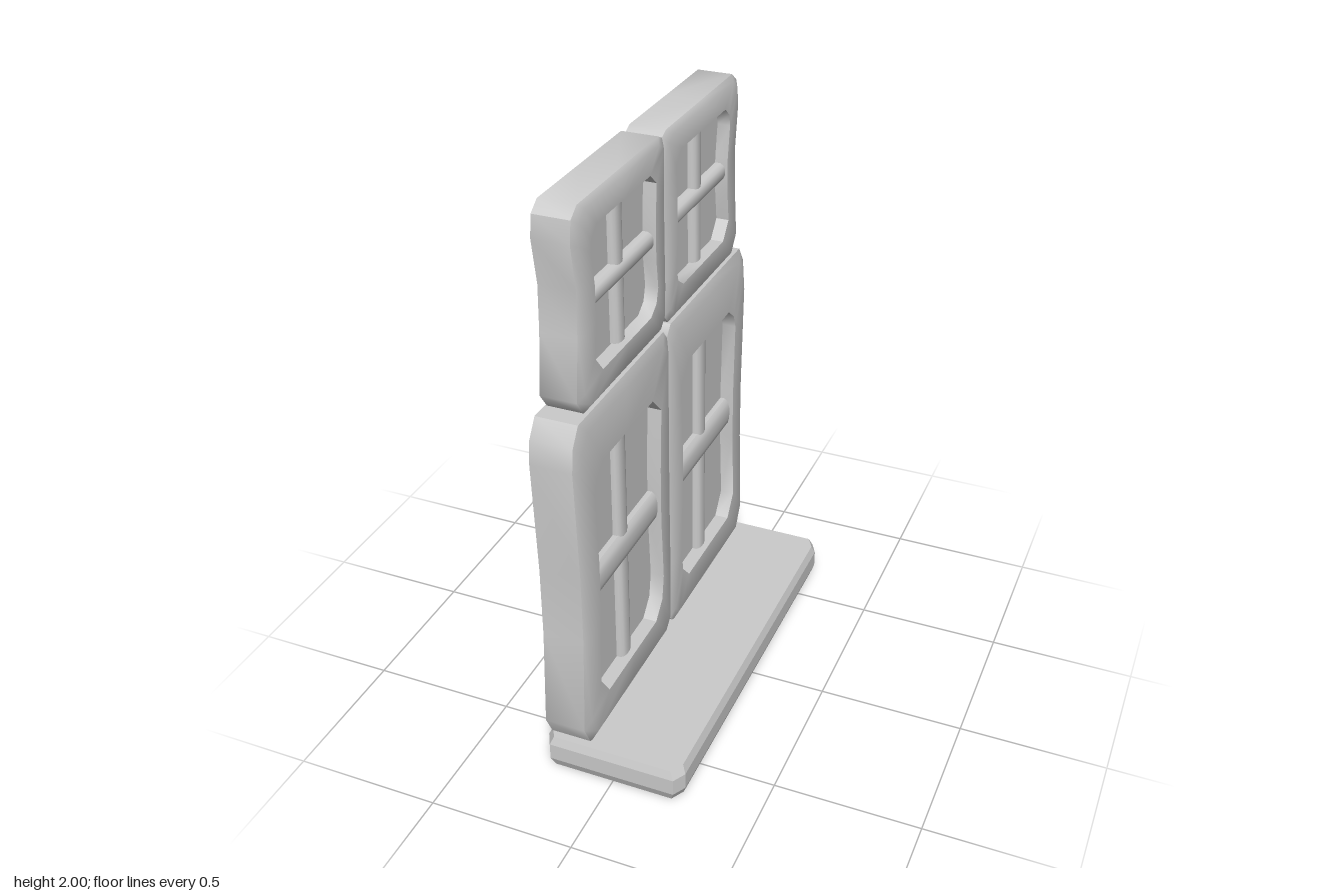
import * as THREE from 'three';
import { toCreasedNormals } from 'three/addons/utils/BufferGeometryUtils.js';

const grey = new THREE.MeshStandardMaterial({ color: 0xcccccc });
const greyShell = new THREE.MeshStandardMaterial({ color: 0xcccccc, side: THREE.DoubleSide });

// Skin a row of equal-length rings; flip reverses the face order
function loft(rings, flip, crease) {
  const pos = [];
  const tri = (a, b, c) => pos.push(...a, ...(flip ? c : b), ...(flip ? b : c));
  const same = (a, b) => a.every((v, k) => v === b[k]);
  for (let r = 0; r < rings.length - 1; r++) {
    const A = rings[r], B = rings[r + 1], n = A.length;
    for (let i = 0; i < n; i++) {
      const j = (i + 1) % n;
      if (!same(B[i], B[j])) tri(A[j], B[i], B[j]);
      if (!same(A[i], A[j])) tri(A[i], B[i], A[j]);
    }
  }
  const geo = new THREE.BufferGeometry();
  geo.setAttribute('position', new THREE.Float32BufferAttribute(pos, 3));
  return toCreasedNormals(geo, crease);
}

// Both sashes of a window: [z, y] loops for the outline and the opening
const lower = {
  name: 'lowerSash', back: -0.23, front: -0.075, pane: -0.125,
  outline: [[.03, .12], [.35, .12], [.66, .12], [.70, .2], [.68, .55], [.68, .8], [.70, 1.2], [.69, 1.28],
    [.65, 1.34], [.35, 1.34], [.03, 1.34], [0, 1.305], [0, 1], [0, .7], [0, .4], [0, .15]],
  hole: [[.15, .25], [.34, .25], [.535, .25], [.592, .33], [.575, .6], [.575, .8], [.588, 1.06], [.57, 1.11],
    [.52, 1.15], [.34, 1.15], [.15, 1.15], [.083, 1.08], [.095, .85], [.095, .65], [.08, .4], [.095, .31]],
  centre: [.337, .7], barV: [.07, .9], barH: [.115, .49],
};
const upper = {
  name: 'upperSash', back: -0.22, front: -0.085, pane: -0.13,
  outline: [[.03, 1.345], [.32, 1.345], [.59, 1.345], [.63, 1.4], [.61, 1.6], [.605, 1.75], [.63, 1.9], [.62, 1.97],
    [.58, 2], [.32, 2], [.03, 2], [0, 1.985], [0, 1.85], [0, 1.7], [0, 1.5], [0, 1.38]],
  hole: [[.13, 1.44], [.3, 1.44], [.48, 1.44], [.53, 1.5], [.515, 1.62], [.515, 1.73], [.533, 1.84], [.525, 1.88],
    [.49, 1.91], [.3, 1.91], [.12, 1.91], [.075, 1.87], [.085, 1.75], [.085, 1.62], [.073, 1.52], [.088, 1.47]],
  centre: [.305, 1.68], barV: [.062, .47], barH: [.06, .44],
};

// Glazing bar with eased front edges, running along z, front towards +x
function barGeometry(width, length, depth) {
  const h = width / 2;
  const s = new THREE.Shape([[-.008, -h], [depth * .5, -h], [depth * .85, -h * .75], [depth, -h * .35],
    [depth, h * .35], [depth * .85, h * .75], [depth * .5, h], [-.008, h]].map(p => new THREE.Vector2(...p)));
  const geo = new THREE.ExtrudeGeometry(s, { depth: length, bevelEnabled: false });
  geo.translate(0, 0, -length / 2);
  return toCreasedNormals(geo, 0.8);
}

function sash(spec, side) {
  const group = new THREE.Group();
  group.name = spec.name + (side > 0 ? 'Near' : 'Far');
  const add = (geo, name, mat) => {
    const m = new THREE.Mesh(geo, mat);
    m.name = name;
    group.add(m);
    return m;
  };
  const ring = (pts, x) => pts.map(([z, y]) => [x, y, z * side]);
  const eased = spec.outline.map(([z, y], i) => [z + (spec.hole[i][0] - z) * .25, y + (spec.hole[i][1] - y) * .2]);
  // Hollow frame: side walls, eased rim, front face and reveal
  add(loft([ring(spec.outline, spec.back), ring(spec.outline, spec.front - .014), ring(eased, spec.front),
    ring(spec.hole, spec.front), ring(spec.hole, spec.pane)], side < 0, 0.75), 'frame', greyShell);
  // Pane closing the opening
  add(loft([ring(spec.hole, spec.pane), ring(spec.hole.map(() => spec.centre), spec.pane)], side < 0, 0.5),
    'pane', greyShell);
  // Crossed glazing bars
  const [cz, cy] = spec.centre;
  const v = add(barGeometry(...spec.barV, .028), 'uprightBar', grey);
  v.geometry.rotateX(-Math.PI / 2);
  const h = add(barGeometry(...spec.barH, .036), 'crossBar', grey);
  for (const b of [v, h]) b.position.set(spec.pane, cy, cz * side);
  return group;
}

// Sill slab with clipped corners and eased top and bottom edges
function sill() {
  const ring = (x, z, y) => [[-x, z - .045], [-x + .025, z], [x - .025, z], [x, z - .045],
    [x, -z + .045], [x - .025, -z], [-x + .025, -z], [-x, -z + .045]].map(([a, b]) => [a, y, b]);
  const cap = y => Array.from({ length: 8 }, () => [0, y, 0]);
  const geo = loft([cap(0), ring(.235, .685, 0), ring(.247, .7, .035), ring(.247, .7, .095),
    ring(.235, .69, .125), cap(.125)], true, 0.3);
  const m = new THREE.Mesh(geo, grey);
  m.name = 'sill';
  return m;
}

export function createModel() {
  const model = new THREE.Group();
  model.name = 'window';
  model.add(sill());
  for (const side of [1, -1]) for (const spec of [lower, upper]) model.add(sash(spec, side));
  return model;
}
